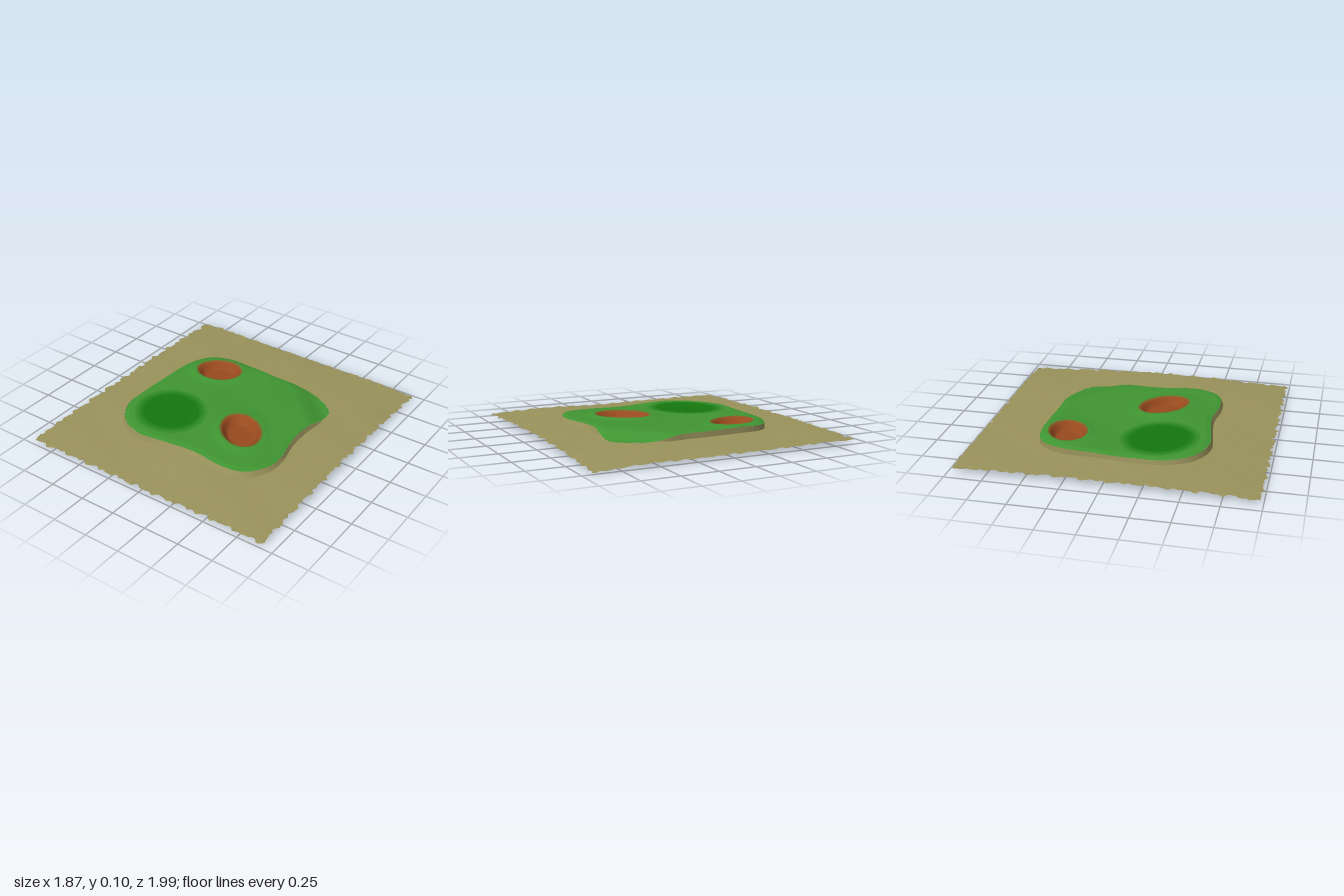
import * as THREE from 'three';

const SAND = 0x9a935c, GRASS = 0x409632, DARK = 0x14780e, CLAY = 0x994a1e;
const smooth = THREE.MathUtils.smoothstep;

// Plateau outline, as a closed curve of [x, z]
const OUTLINE = [
  [-0.42, -0.545], [-0.18, -0.555], [0.08, -0.545], [0.34, -0.545], [0.55, -0.42],
  [0.565, -0.26], [0.545, -0.08], [0.55, 0.08], [0.587, 0.27], [0.575, 0.4],
  [0.48, 0.53], [0.32, 0.56], [0.08, 0.535], [-0.13, 0.56], [-0.34, 0.58],
  [-0.52, 0.5], [-0.625, 0.34], [-0.635, 0.13], [-0.62, -0.13], [-0.59, -0.37], [-0.52, -0.5],
];

// Outline radius around the origin, tabulated by angle
const TURNS = 480;
const radii = new Float32Array(TURNS);
const curve = new THREE.CatmullRomCurve3(OUTLINE.map(([x, z]) => new THREE.Vector3(x, 0, z)), true);
const wrap = (t) => ((t / (2 * Math.PI)) % 1 + 1) % 1 * TURNS;
for (const p of curve.getPoints(6000)) {
  radii[Math.round(wrap(Math.atan2(p.z, p.x))) % TURNS] = Math.hypot(p.x, p.z);
}
function outlineRadius(t) {
  const u = wrap(t), i = Math.floor(u);
  return THREE.MathUtils.lerp(radii[i % TURNS], radii[(i + 1) % TURNS], u - i);
}

// Star-shaped zones: a centre and a radius for each direction
const ellipse = (cx, cz, a, b, turn) => ({
  cx, cz,
  radius: (t) => 1 / Math.hypot(Math.cos(t - turn) / a, Math.sin(t - turn) / b),
});
const scaled = (zone, k) => ({ ...zone, radius: (t) => zone.radius(t) * k });
function measure(zone, x, z) {
  const dx = x - zone.cx, dz = z - zone.cz, t = Math.atan2(dz, dx);
  return { t, d: Math.hypot(dx, dz), r: zone.radius(t) };
}
const plateau = { cx: 0, cz: 0, radius: outlineRadius };
const bunkers = [ellipse(-0.35, -0.37, 0.165, 0.13, -0.35), ellipse(0.215, 0.175, 0.195, 0.135, 0.75)];
const darkPatch = ellipse(-0.32, 0.25, 0.265, 0.24, 0.7);

// Height of the surrounding ground
function groundHeight(x, z) {
  const corner = 0.016 * Math.max(0, x) * Math.max(0, -z);
  const dip = 0.007 * Math.cos(4.5 * x + 0.5) * z * z;
  const ripple = 0.0015 * (Math.sin(9 * x + 4 * z) + Math.sin(13 * z - 5 * x)) + 0.0006 * Math.sin(31 * x + 3) * Math.sin(27 * z);
  return 0.059 - 0.027 * z * z - 0.012 * x * x - corner - dip + ripple;
}

// Height of the plateau: rounded rim, hollows with raised lips, a ramp at one back corner
function topHeight(x, z) {
  const edge = measure(plateau, x, z);
  let y = 0.092 + 0.0025 * Math.sin(6 * x + 5 * z) + 0.0015 * Math.sin(11 * z - 7 * x);
  y -= 0.007 * (1 - smooth(edge.r - edge.d, 0, 0.04));
  for (const b of bunkers) {
    const m = measure(b, x, z), q = m.d / m.r;
    y += 0.009 * Math.exp(-(((q - 1.05) / 0.3) ** 2)) - 0.045 * (1 - smooth(q, 0.64, 1));
  }
  const ramp = smooth((x - z) * 0.707, 0.47, 0.66);
  return THREE.MathUtils.lerp(y, groundHeight(x, z), ramp);
}

function makeMesh(name, geometry, color) {
  const mesh = new THREE.Mesh(geometry, new THREE.MeshStandardMaterial({ color, side: THREE.DoubleSide }));
  mesh.name = name;
  return mesh;
}

// Closed band of rings; point(angle, v) gives [x, y, z] for v from inside to outside
function ringGeometry(rings, point) {
  const pos = [], index = [];
  for (let j = 0; j <= rings; j++) {
    for (let i = 0; i < TURNS; i++) pos.push(...point((i / TURNS) * 2 * Math.PI, j / rings));
  }
  for (let j = 0; j < rings; j++) {
    for (let i = 0; i < TURNS; i++) {
      const n = (i + 1) % TURNS;
      const a = j * TURNS + i, b = j * TURNS + n, c = a + TURNS, d = b + TURNS;
      index.push(a, b, c, b, d, c);
    }
  }
  const g = new THREE.BufferGeometry();
  g.setAttribute('position', new THREE.Float32BufferAttribute(pos, 3));
  g.setIndex(index);
  g.computeVertexNormals();
  return g;
}

// Foot of the bank spreads further towards the front and left
const footRadius = (t) => outlineRadius(t) + 0.009 + 0.008 * Math.sin(t + 0.6);

// Ragged outer border of the ground
const fray = (s) => 0.007 * (Math.sin(s * 71) + Math.sin(s * 113 + 1.3) * 0.8 + Math.sin(s * 37 + 2));
function borderPoint(t) {
  const c = Math.cos(t), s = Math.sin(t);
  const k = Math.min(0.915 / Math.abs(c), 0.98 / Math.abs(s));
  const x = c * k, z = s * k;
  const onSide = Math.abs(x) > 0.914;
  const rough = z > 0 ? 1 : 0.5;
  return [
    x + (onSide ? Math.sign(x) * fray(z + x) : 0),
    z + (Math.abs(z) > 0.979 ? Math.sign(z) * fray(x + z * 2) * rough : 0),
  ];
}

// Fine plateau grid, snapped to the zone borders and split into one mesh per zone
function buildPlateau(group) {
  const layers = [
    { name: 'grass', zone: plateau, color: GRASS },
    { name: 'darkGrassOuterEdge', zone: scaled(darkPatch, 1.04), color: 0x358e29 },
    { name: 'darkGrassMiddleEdge', zone: scaled(darkPatch, 0.96), color: 0x2a8720 },
    { name: 'darkGrassInnerEdge', zone: scaled(darkPatch, 0.88), color: 0x1f7f17 },
    { name: 'darkGrass', zone: scaled(darkPatch, 0.8), color: DARK },
  ];
  bunkers.forEach((b, i) => {
    layers.push({ name: `bunkerRim${i + 1}`, zone: scaled(b, 1.03), color: 0x7a6425 });
    layers.push({ name: `bunker${i + 1}`, zone: scaled(b, 0.95), color: CLAY });
  });

  const N = 132, size = 1.34, step = size / N, pos = [];
  for (let j = 0; j <= N; j++) {
    for (let i = 0; i <= N; i++) {
      let x = i * step - size / 2, z = j * step - size / 2;
      for (const { zone } of layers) {
        const m = measure(zone, x, z);
        if (Math.abs(m.d - m.r) > step * 0.5) continue;
        x = zone.cx + Math.cos(m.t) * m.r;
        z = zone.cz + Math.sin(m.t) * m.r;
        break;
      }
      pos.push(x, topHeight(x, z), z);
    }
  }

  const faces = layers.map(() => []);
  const addFace = (...tri) => {
    const mid = (k) => tri.reduce((sum, v) => sum + pos[v * 3 + k], 0) / 3;
    const x = mid(0), z = mid(2);
    const zoneIndex = layers.findLastIndex(({ zone }) => {
      const m = measure(zone, x, z);
      return m.d < m.r;
    });
    if (zoneIndex >= 0) faces[zoneIndex].push(...tri);
  };
  for (let j = 0; j < N; j++) {
    for (let i = 0; i < N; i++) {
      const a = j * (N + 1) + i, b = a + N + 1;
      addFace(a, b, a + 1);
      addFace(b, b + 1, a + 1);
    }
  }

  // Shared normals keep the shading continuous between zones
  const whole = new THREE.BufferGeometry();
  whole.setAttribute('position', new THREE.Float32BufferAttribute(pos, 3));
  whole.setIndex(faces.flat());
  whole.computeVertexNormals();
  layers.forEach(({ name, color }, i) => {
    whole.setIndex(faces[i]);
    group.add(makeMesh(name, whole.toNonIndexed(), color));
  });
}

export function createModel() {
  const model = new THREE.Group();
  model.name = 'golfGreenTerrain';

  // Surrounding ground with frayed border
  model.add(makeMesh('ground', ringGeometry(22, (t, v) => {
    const r = footRadius(t), [bx, bz] = borderPoint(t);
    const x = THREE.MathUtils.lerp(Math.cos(t) * r, bx, v);
    const z = THREE.MathUtils.lerp(Math.sin(t) * r, bz, v);
    const frayed = v === 1 ? 0.003 * Math.sin(57 * x + 43 * z) : 0;
    return [x, groundHeight(x, z) + frayed, z];
  }), SAND));

  // Steep bank between the ground and the raised grass
  model.add(makeMesh('bank', ringGeometry(3, (t, v) => {
    const r0 = outlineRadius(t), r1 = footRadius(t), c = Math.cos(t), s = Math.sin(t);
    const r = THREE.MathUtils.lerp(r0, r1, v);
    const y = THREE.MathUtils.lerp(topHeight(c * r0, s * r0), groundHeight(c * r1, s * r1), v);
    return [c * r, y, s * r];
  }), SAND));

  buildPlateau(model);
  return model;
}
